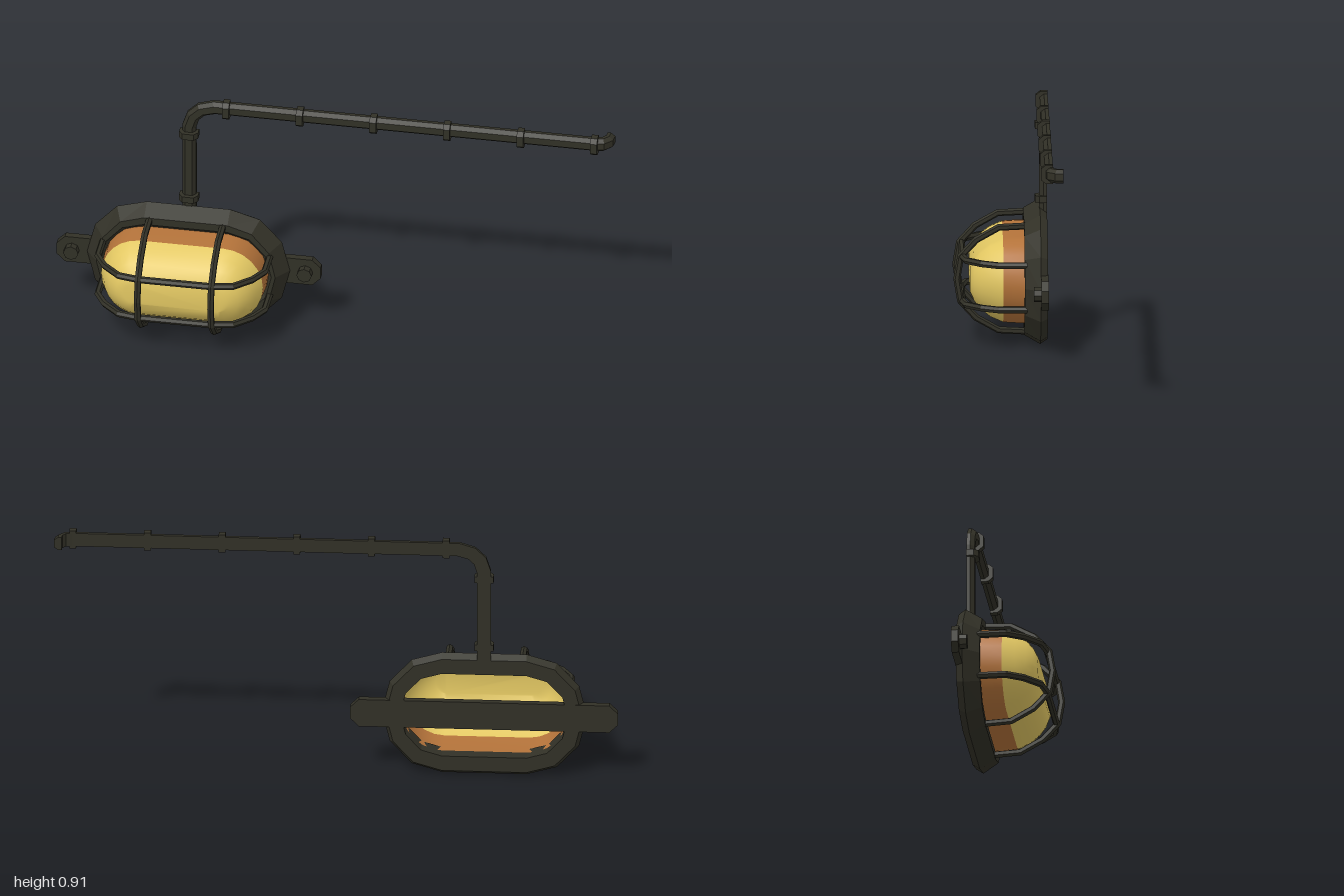
import * as THREE from 'three';
import { mergeVertices } from 'three/addons/utils/BufferGeometryUtils.js';

const V = (x, y, z) => new THREE.Vector3(x, y, z);
const CX = -0.525, CY = 0.235, WALL = -0.148;

// Skin a list of closed rings; optionally cap the ends or join last to first
function loft(rings, { capStart = false, capEnd = false, loop = false } = {}) {
  const pos = [];
  const tri = (...ps) => ps.forEach((p) => pos.push(p.x, p.y, p.z));
  const n = rings[0].length;
  const count = loop ? rings.length : rings.length - 1;
  for (let i = 0; i < count; i++) {
    const r = rings[i], s = rings[(i + 1) % rings.length];
    for (let j = 0; j < n; j++) {
      const k = (j + 1) % n;
      tri(r[j], r[k], s[k]);
      tri(r[j], s[k], s[j]);
    }
  }
  const first = rings[0], last = rings[rings.length - 1];
  for (let j = 1; j < n - 1; j++) {
    if (capStart) tri(first[0], first[j + 1], first[j]);
    if (capEnd) tri(last[0], last[j], last[j + 1]);
  }
  const g = new THREE.BufferGeometry();
  g.setAttribute('position', new THREE.Float32BufferAttribute(pos, 3));
  g.computeVertexNormals();
  return g;
}

// Sweep a [side, out] profile along a path with one outward vector per point
function sweep(path, outs, profile) {
  const rings = path.map((p, i) => {
    const a = path[Math.max(i - 1, 0)], b = path[Math.min(i + 1, path.length - 1)];
    const t1 = p.clone().sub(a).normalize(), t2 = b.clone().sub(p).normalize();
    const t = t1.add(t2).normalize();
    const out = (Array.isArray(outs) ? outs[i] : outs).clone();
    const side = out.clone().cross(t).normalize();
    return profile.map(([s, d]) => p.clone().addScaledVector(side, s).addScaledVector(out, d));
  });
  return loft(rings, { capStart: true, capEnd: true });
}

// Oval with straight top and bottom, in the plane at depth z
function oval(rx, ry, z, steps) {
  const pts = [];
  for (const [start, dx] of [[-Math.PI / 2, 0.15], [Math.PI / 2, -0.15]]) {
    for (let i = 0; i <= steps; i++) {
      const a = start + (i / steps) * Math.PI;
      pts.push(V(CX + dx + rx * Math.cos(a), CY + ry * Math.sin(a), z));
    }
  }
  return pts;
}

const halfPipe = (w, low, bevel, top) =>
  [[w, 0], [w, low], [bevel, top], [-bevel, top], [-w, low], [-w, 0]];

export function createModel() {
  const model = new THREE.Group();
  model.name = 'bulkheadLamp';
  const mat = (name, color, extra = {}) => {
    const m = new THREE.MeshStandardMaterial({ color, ...extra });
    m.name = name;
    return m;
  };
  const metal = mat('darkMetal', 0x313026);
  const yellow = mat('yellowGlass', 0xe2c762, { side: THREE.DoubleSide });
  const orange = mat('orangeGlass', 0xb4733a, { side: THREE.DoubleSide });
  const add = (name, geometry, material = metal, parent = model) => {
    const m = new THREE.Mesh(geometry, material);
    m.name = name;
    parent.add(m);
    return m;
  };

  // Faceted oval housing, open through the middle
  add('housing', loft([
    [0.148, 0.16, -0.147], [0.2, 0.216, -0.147], [0.215, 0.233, -0.122],
    [0.172, 0.2, -0.065], [0.158, 0.172, -0.065], [0.145, 0.156, -0.08],
  ].map(([rx, ry, z]) => oval(rx, ry, z, 6)), { loop: true }));

  // Glass dome: orange skirt and yellow front
  const dome = (rows, opts) => {
    const g = loft(rows.map(([z, k]) => oval(0.145 * k, 0.155 * k, z, 12)), opts);
    g.deleteAttribute('normal');
    const merged = mergeVertices(g, 1e-4);
    merged.computeVertexNormals();
    return merged;
  };
  add('glassSkirt', dome([[-0.11, 1], [-0.05, 1], [0.01, 0.975]]), orange);
  add('glassDome', dome([
    [0.01, 0.975], [0.055, 0.85], [0.09, 0.67], [0.112, 0.49], [0.127, 0.27],
  ], { capEnd: true }), yellow);

  // Wire cage: two upright hoops and two level hoops
  const cage = new THREE.Group();
  cage.name = 'cage';
  model.add(cage);
  const wire = Array.from({ length: 6 }, (_, i) => {
    const a = (i / 6) * Math.PI * 2;
    return [0.0125 * Math.cos(a), 0.0125 * Math.sin(a)];
  });
  const mirrored = (half) => [...half, ...half.slice().reverse().map(([u, z]) => [-u, z])];
  const upright = mirrored([[0.19, -0.075], [0.185, 0.025], [0.14, 0.105], [0.08, 0.16]]);
  upright.splice(4, 0, [0, 0.173]);
  const level = mirrored([[0.3, -0.075], [0.3, 0.025], [0.265, 0.085], [0.205, 0.14], [0.13, 0.154]]);
  for (const s of [-1, 1]) {
    add('uprightHoop', sweep(upright.map(([u, z]) => V(CX + s * 0.132, CY + u, z)), V(1, 0, 0), wire), metal, cage);
    add('levelHoop', sweep(level.map(([u, z]) => V(CX + u, CY + s * 0.08, z)), V(0, 1, 0), wire), metal, cage);
  }

  // Mounting bar behind the housing, with a bolt at each end
  const h = 0.052, c = 0.03, L = 0.475;
  const outline = [[-L, -h + c], [-L + c, -h], [L - c, -h], [L, -h + c],
    [L, h - c], [L - c, h], [-L + c, h], [-L, h - c]];
  add('mountingBar', loft([WALL, -0.122].map((z) =>
    outline.map(([x, y]) => V(CX + x, CY + y, z))), { capStart: true, capEnd: true }));
  for (const s of [-1, 1]) {
    const g = new THREE.CylinderGeometry(0.027, 0.027, 0.028, 8).toNonIndexed();
    g.computeVertexNormals();
    const bolt = add('bolt', g);
    bolt.rotation.x = Math.PI / 2;
    bolt.position.set(CX + s * 0.42, CY, -0.11);
  }

  // Flat-backed conduit: up the wall, along it, then back into it
  const front = V(0, 0, 1);
  const path = [
    [CX, 0.44], [CX, 0.795], [-0.511, 0.838], [-0.482, 0.866], [-0.435, 0.88], [0.935, 0.88],
  ].map(([x, y]) => V(x, y, WALL));
  const outs = path.map(() => front);
  path.push(V(0.959, 0.88, -0.152), V(0.971, 0.88, -0.166), V(0.972, 0.88, -0.185));
  outs.push(V(0.4, 0, 0.917), V(0.917, 0, 0.4), V(1, 0, 0));
  add('conduit', sweep(path, outs, halfPipe(0.025, 0.013, 0.013, 0.028)));

  // Clamps along the conduit
  const clampProfile = halfPipe(0.034, 0.026, 0.02, 0.043);
  const clamp = (at, dir) => add('clamp', sweep(
    [at.clone().addScaledVector(dir, -0.012), at.clone().addScaledVector(dir, 0.012)], front, clampProfile));
  for (const y of [0.5, 0.765]) clamp(V(CX, y, WALL), V(0, 1, 0));
  for (let i = 0; i < 6; i++) clamp(V(-0.39 + i * 0.265, 0.88, WALL), V(1, 0, 0));

  return model;
}
